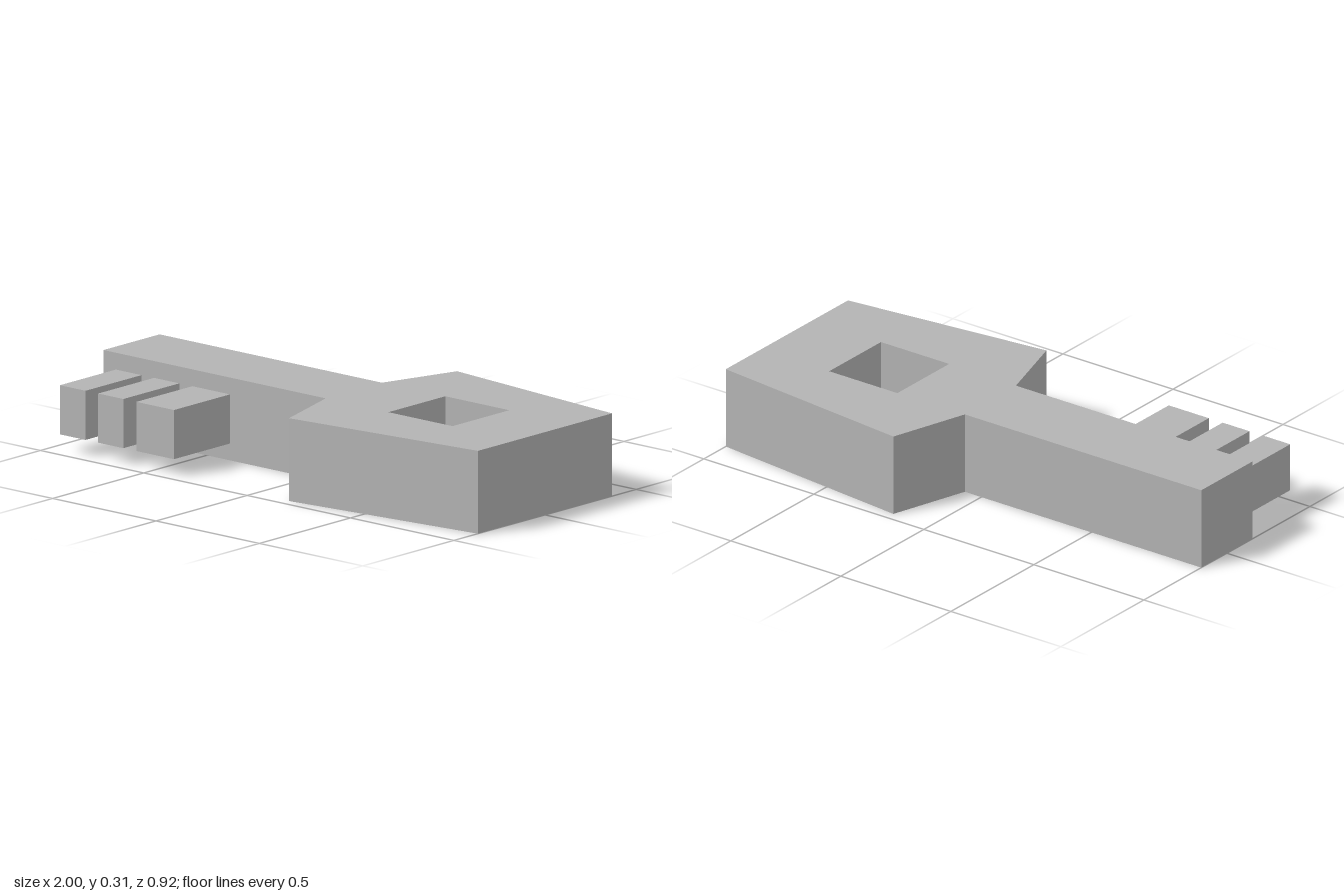
import * as THREE from 'three';

const HEIGHT = 0.31;

export function createModel() {
  const key = new THREE.Group();
  key.name = 'key';
  const metal = new THREE.MeshStandardMaterial({ color: 0xb3b3b3 });
  metal.name = 'grey metal';

  // Shaft and flared handle share one outline, mirrored across the long axis
  const half = [[-1, 0.154], [0.075, 0.154], [0.168, 0.461], [1, 0.368]];
  const lower = half.map(([x, z]) => new THREE.Vector2(x, -z));
  const upper = half.map(([x, z]) => new THREE.Vector2(x, z)).reverse();
  const outline = new THREE.Shape([...lower, ...upper]);

  // Square hole through the handle
  const hole = [[0.38, -0.156], [0.38, 0.156], [0.69, 0.156], [0.69, -0.156]];
  outline.holes.push(new THREE.Path(hole.map(([x, z]) => new THREE.Vector2(x, z))));

  const bodyGeometry = new THREE.ExtrudeGeometry(outline, { depth: HEIGHT, bevelEnabled: false });
  bodyGeometry.rotateX(-Math.PI / 2);
  const body = new THREE.Mesh(bodyGeometry, metal);
  body.name = 'shaftAndHandle';
  key.add(body);

  // Teeth along the front of the shaft: [left edge, right edge]
  const teeth = [[-0.94, -0.816], [-0.755, -0.633], [-0.57, -0.388]];
  teeth.forEach(([x0, x1], i) => {
    const tooth = new THREE.Mesh(new THREE.BoxGeometry(x1 - x0, 0.184, 0.307), metal);
    tooth.position.set((x0 + x1) / 2, HEIGHT / 2, 0.3075);
    tooth.name = `tooth${i + 1}`;
    key.add(tooth);
  });

  return key;
}
